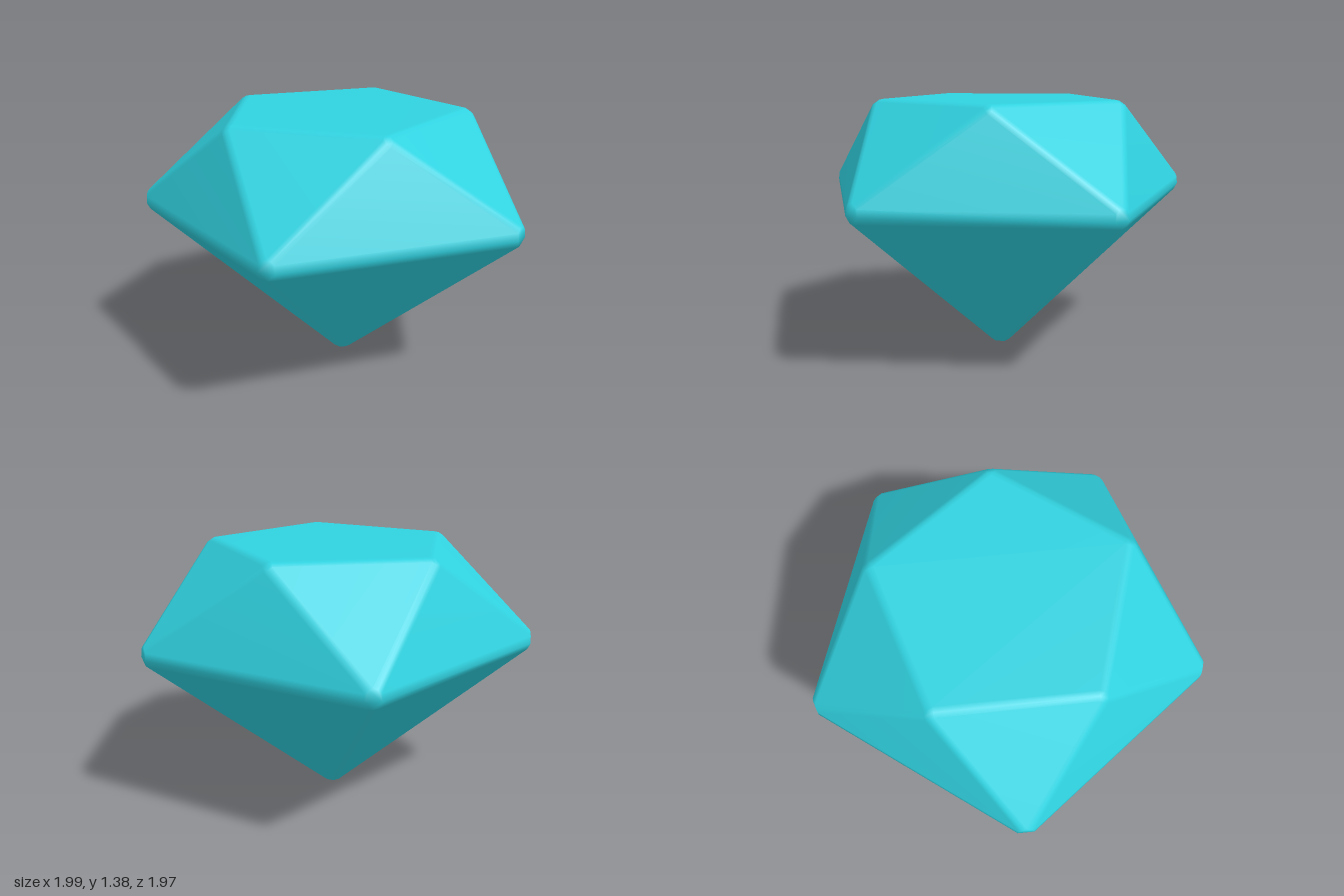
import * as THREE from 'three';
import { mergeVertices } from 'three/addons/utils/BufferGeometryUtils.js';
import { ConvexGeometry } from 'three/addons/geometries/ConvexGeometry.js';

const SIDES = 5;
const BEVEL = 0.07;
const TURN = THREE.MathUtils.degToRad(7);
const AXIS = { x: -0.04, z: 0.06 }; // the gem's own axis sits slightly off centre

// Corner of a ring; angles run from the back (-z) towards +x
function ringPoint(step, radius, y) {
  const a = TURN + (step * 2 * Math.PI) / SIDES;
  return new THREE.Vector3(AXIS.x + Math.sin(a) * radius, y, AXIS.z - Math.cos(a) * radius);
}

// Convex solid with rounded edges: every corner is pushed out along the
// normals of its faces and along the mid-normals of its edges
function roundedSolid(corners, faces, radius) {
  const centre = new THREE.Vector3(AXIS.x, 0.85, AXIS.z);
  const normals = faces.map(([a, b, c]) => {
    const n = corners[b].clone().sub(corners[a]).cross(corners[c].clone().sub(corners[a])).normalize();
    return n.dot(corners[a].clone().sub(centre)) < 0 ? n.negate() : n;
  });
  const points = [];
  const push = (corner, n) => points.push(corner.clone().addScaledVector(n, radius));
  corners.forEach((corner, v) => {
    faces.forEach((face, i) => {
      if (!face.includes(v)) return;
      push(corner, normals[i]);
      for (let j = i + 1; j < faces.length; j++) {
        const sharesEdge = faces[j].includes(v) && face.filter((k) => faces[j].includes(k)).length === 2;
        if (sharesEdge) push(corner, normals[i].clone().add(normals[j]).normalize());
      }
    });
  });
  const hull = new ConvexGeometry(points);
  hull.deleteAttribute('normal');
  const smooth = mergeVertices(hull, 1e-4);
  smooth.computeVertexNormals();
  return smooth;
}

export function createModel() {
  const teal = new THREE.MeshStandardMaterial({ color: 0x30d2e0 });
  teal.name = 'turquoise';

  // Corners: girdle 0-4, table 5-9 (turned half a step), bottom tip 10
  const corners = [];
  for (let i = 0; i < SIDES; i++) corners.push(ringPoint(i, 0.985, 0.89));
  for (let i = 0; i < SIDES; i++) corners.push(ringPoint(i + 0.5, 0.63, 1.307));
  corners.push(new THREE.Vector3(AXIS.x, 0.05, AXIS.z));

  // Facets: table, two rows of crown triangles, pavilion triangles
  const faces = [[5, 6, 7, 8, 9]];
  for (let i = 0; i < SIDES; i++) {
    const next = (i + 1) % SIDES;
    const prev = (i + SIDES - 1) % SIDES;
    faces.push([i, SIDES + prev, SIDES + i], [i, next, SIDES + i], [i, next, 2 * SIDES]);
  }

  const gem = new THREE.Mesh(roundedSolid(corners, faces, BEVEL), teal);
  gem.name = 'gem';

  const group = new THREE.Group();
  group.name = 'cutGem';
  group.add(gem);
  return group;
}
